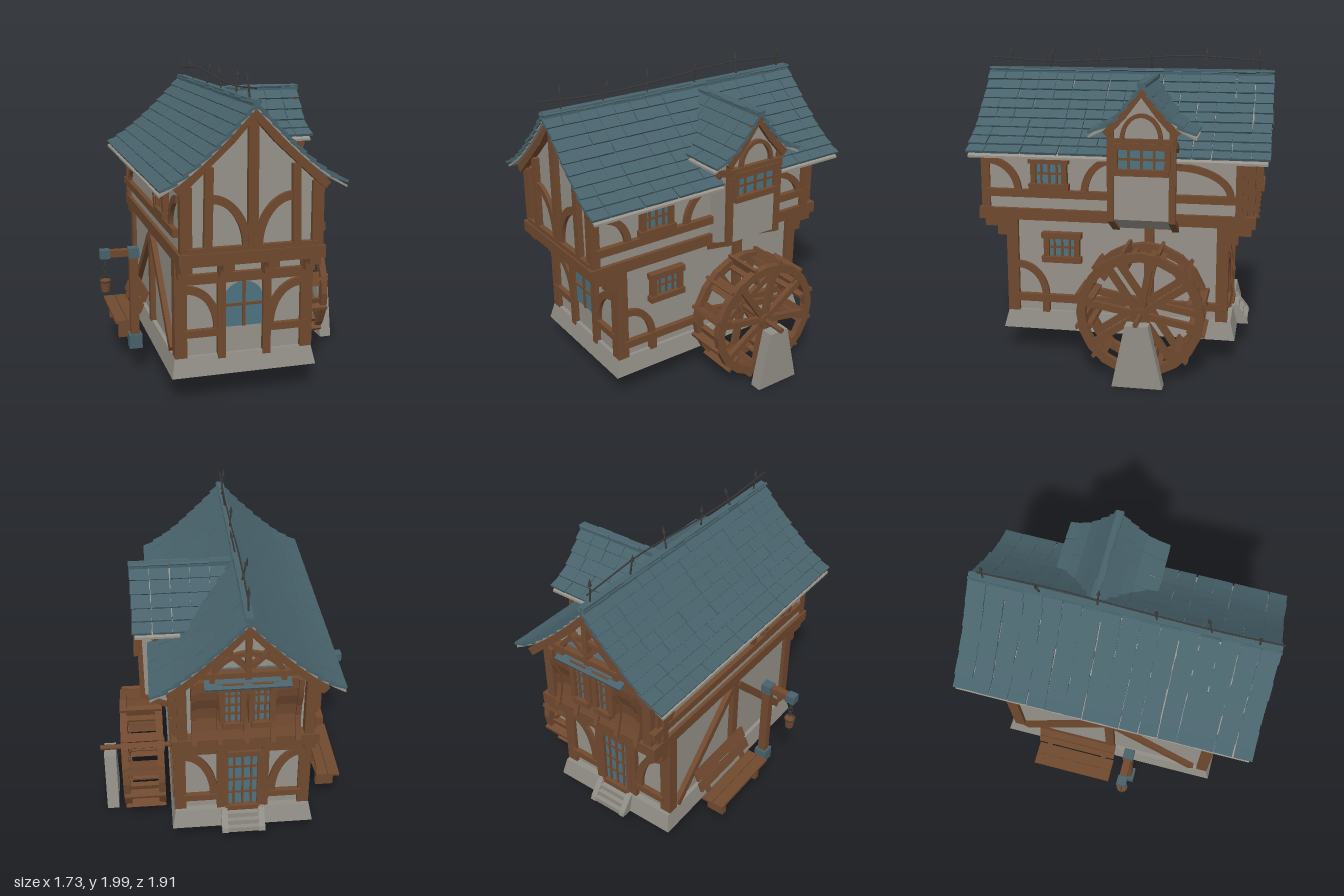
import * as THREE from 'three';
import { mergeGeometries } from 'three/addons/utils/BufferGeometryUtils.js';

const mat = (name, color) => Object.assign(new THREE.MeshStandardMaterial({ color }), { name });
const wood = mat('timber', 0x70492f), plaster = mat('plaster', 0x96928a), stone = mat('stone', 0x918e86);
const tile = mat('slate tile', 0x48626b), glass = mat('window glass', 0x4c7280), iron = mat('iron', 0x3c3a38);
const CX = -0.062; // house centre line
let seed = 7;
const rnd = () => ((seed = (seed * 16807) % 2147483647) / 2147483647) - 0.5;

function add(parent, name, geo, m) {
  const mesh = new THREE.Mesh(geo, m);
  mesh.name = name;
  parent.add(mesh);
  return mesh;
}
function box(parent, name, m, x0, x1, y0, y1, z0, z1) {
  const b = add(parent, name, new THREE.BoxGeometry(x1 - x0, y1 - y0, z1 - z0), m);
  b.position.set((x0 + x1) / 2, (y0 + y1) / 2, (z0 + z1) / 2);
  return b;
}
function group(parent, name, x = 0, y = 0, z = 0, ry = 0) {
  const g = new THREE.Group();
  g.name = name;
  g.position.set(x, y, z);
  g.rotation.y = ry;
  parent.add(g);
  return g;
}
const shapeOf = pts => new THREE.Shape(pts.map(p => new THREE.Vector2(...p)));
const extrude = (shape, depth) => new THREE.ExtrudeGeometry(shape, { depth, bevelEnabled: false, curveSegments: 10 });
// Straight timber between two points of a facade
function bar(g, u0, v0, u1, v1, w = 0.045, n = 0.01, d = 0.045, name = 'timber') {
  const b = add(g, name, new THREE.BoxGeometry(Math.hypot(u1 - u0, v1 - v0), w, d), wood);
  b.position.set((u0 + u1) / 2, (v0 + v1) / 2, n);
  b.rotation.z = Math.atan2(v1 - v0, u1 - u0);
}
// Curved brace: quarter ring about an inner corner, dir is +1 or -1 along u
function arc(g, u, v, r, dir, w = 0.05, ry = r, n = 0) {
  const s = new THREE.Shape(), a0 = dir > 0 ? 0 : Math.PI / 2, a1 = a0 + Math.PI / 2;
  s.absellipse(0, 0, r, ry, a0, a1, false);
  s.absellipse(0, 0, r - w, ry - w, a1, a0, true);
  add(g, 'curvedBrace', extrude(s, 0.025), wood).position.set(u, v, n);
}
function win(g, u, v, w, h, cols, rows, n = 0.01, lip = 0.03) {
  const f = group(g, 'window', u, v, n);
  box(f, 'glass', glass, -w / 2, w / 2, -h / 2, h / 2, -0.004, 0.004);
  for (const s of [-1, 1]) {
    bar(f, s * w / 2, -h / 2, s * w / 2, h / 2, 0.035, 0.008, 0.04, 'jamb');
    bar(f, -w / 2 - lip, s * (h / 2 + 0.015), w / 2 + lip, s * (h / 2 + 0.015), 0.04, 0.012, 0.05, 'sill');
  }
  for (let i = 1; i < cols; i++) bar(f, -w / 2 + i * w / cols, -h / 2, -w / 2 + i * w / cols, h / 2, 0.014, 0.006, 0.014, 'muntin');
  for (let i = 1; i < rows; i++) bar(f, -w / 2, -h / 2 + i * h / rows, w / 2, -h / 2 + i * h / rows, 0.014, 0.006, 0.014, 'muntin');
}
// Sweeping gable roof with its ridge along z, covered in uneven overlapping tiles
function tiledRoof(g, pts, z0, z1, rows, cols) {
  const curve = new THREE.CatmullRomCurve3(pts.map(p => new THREE.Vector3(p[0], p[1], 0)));
  const top = curve.getSpacedPoints(10).map(p => [p.x, p.y - 0.015]);
  const tiles = [], step = (z1 - z0) / cols;
  for (const s of [-1, 1]) {
    const under = [...top, ...top.slice().reverse().map(p => [p[0], p[1] - 0.014])].map(p => [p[0] * s, p[1]]);
    add(g, 'roofBoards', extrude(shapeOf(under), z1 - z0 - 0.03), plaster).position.z = z0 + 0.015;
    for (let i = 0; i < rows; i++) {
      const a = curve.getPointAt(i / rows), b = curve.getPointAt((i + 1) / rows);
      for (let j = 0; j < cols; j++) {
        const len = a.distanceTo(b) * (1.4 + rnd() * 0.12), ang = Math.atan2(a.y - b.y, b.x - a.x) - 0.14 + rnd() * 0.05;
        tiles.push(new THREE.BoxGeometry(len, 0.016, step * 0.97)
          .rotateY(rnd() * 0.06).rotateZ(-s * ang)
          .translate(s * (b.x - Math.cos(ang) * len / 2), b.y + Math.sin(ang) * len / 2 + 0.008, z0 + (j + 0.5) * step + rnd() * 0.008));
      }
    }
  }
  add(g, 'roofTiles', mergeGeometries(tiles), tile);
}

function buildWalls(house) {
  // Flared stone base
  const base = new THREE.BoxGeometry(0.915, 0.12, 1.52), p = base.attributes.position;
  for (let i = 0; i < p.count; i++) if (p.getY(i) > 0) { p.setX(i, p.getX(i) * 0.95); p.setZ(i, p.getZ(i) * 0.96); }
  base.computeVertexNormals();
  add(house, 'foundation', base, stone).position.set(CX, 0.225, 0.005);
  box(house, 'lowerWalls', plaster, -0.47, 0.35, 0.28, 0.92, -0.68, 0.71);
  // Upper storey with gables in one piece
  const half = [[0.42, 0.95], [0.42, 1.37], [0.39, 1.4], [0.26, 1.52], [0.14, 1.63], [0, 1.77]];
  const outline = [...half, ...half.slice(0, -1).reverse().map(q => [-q[0], q[1]])];
  add(house, 'upperWalls', extrude(shapeOf(outline), 1.66), plaster).position.set(CX, 0, -0.79);
  // Corner posts, jetty beams and joist ends
  for (const x of [-0.458, 0.338]) {
    for (const z of [-0.665, 0.7]) box(house, 'lowerCornerPost', wood, x - 0.038, x + 0.038, 0.28, 0.9, z - 0.038, z + 0.038);
    for (const z of [-0.785, 0.87]) box(house, 'upperCornerPost', wood, x - 0.035, x + 0.035, 0.95, 1.36, z - 0.028, z + 0.028);
    box(house, 'jettyBeam', wood, x - 0.047, x + 0.047, 0.9, 0.975, -0.86, 0.86);
    box(house, 'wallPlate', wood, x - 0.03, x + 0.035, 1.32, 1.365, -0.79, 0.88);
  }
  for (const z of [-0.82, 0.87]) box(house, 'jettyBeam', wood, -0.505, 0.385, 0.9, 0.975, z - 0.045, z + 0.045);
  for (const x of [-0.455, -0.2, 0.075, 0.335]) for (const s of [-1, 1]) {
    const z = s > 0 ? 0.72 : -0.68;
    box(house, 'joistEnd', wood, x - 0.035, x + 0.035, 0.85, 0.905, Math.min(z, z + s * 0.16), Math.max(z, z + s * 0.16));
    box(house, 'joistBracket', wood, x - 0.03, x + 0.03, 0.79, 0.855, Math.min(z, z + s * 0.08), Math.max(z, z + s * 0.08));
  }
}

function gableRafters(g, n) {
  const r = [[0.45, 1.335], [0.28, 1.49], [0.14, 1.62], [0, 1.775]];
  for (const s of [-1, 1]) for (let i = 0; i < 3; i++) bar(g, s * r[i][0], r[i][1], s * r[i + 1][0], r[i + 1][1], 0.05, n, 0.05, 'rafter');
}

function buildFronts(house) {
  const low = group(house, 'frontLower', CX, 0, 0.712);
  bar(low, -0.4, 0.77, 0.4, 0.77, 0.06);
  bar(low, -0.4, 0.43, -0.13, 0.43);
  bar(low, 0.13, 0.43, 0.4, 0.43);
  for (const s of [-1, 1]) {
    bar(low, s * 0.143, 0.26, s * 0.143, 0.76, 0.05);
    arc(low, s * 0.36, 0.45, 0.22, -s, 0.05, 0.28);
  }
  // Arched window
  const pane = new THREE.Shape([[-0.12, 0.45], [0.12, 0.45], [0.12, 0.63]].map(q => new THREE.Vector2(...q)));
  pane.absellipse(0, 0.63, 0.12, 0.1, 0, Math.PI, false);
  add(low, 'archedWindow', extrude(pane, 0.008), glass);
  bar(low, 0, 0.45, 0, 0.74, 0.018, 0.01, 0.02);
  bar(low, -0.12, 0.59, 0.12, 0.59, 0.016, 0.01, 0.02);

  const up = group(house, 'frontUpper', CX, 0, 0.873);
  bar(up, 0, 0.97, 0, 1.75, 0.06);
  bar(up, -0.4, 0.99, 0.4, 0.99, 0.03);
  for (const s of [-1, 1]) {
    bar(up, s * 0.27, 0.97, s * 0.26, 1.47, 0.05);
    arc(up, s * 0.25, 0.99, 0.24, -s, 0.05, 0.32);
  }
  gableRafters(up, 0.02);
}

function buildSides(house) {
  const right = group(house, 'rightSide', 0.352, 0, 0, Math.PI / 2); // u = -z
  bar(right, -0.7, 0.375, 0.66, 0.375, 0.05);
  bar(right, -0.48, 0.28, -0.48, 0.36);
  arc(right, -0.66, 0.39, 0.2, 1, 0.045, 0.23);
  bar(right, 0.2, 0.28, 0.2, 0.9, 0.06);
  win(right, -0.37, 0.725, 0.2, 0.13, 4, 2);
  const left = group(house, 'leftSide', -0.472, 0, 0, -Math.PI / 2); // u = z
  bar(left, 0.02, 0.28, 0.02, 0.9, 0.06);
  bar(left, -0.62, 0.3, -0.02, 0.86, 0.05);
  bar(left, 0.62, 0.3, 0.06, 0.86, 0.05);
  for (const [g, m] of [[right, 1], [left, -1]]) {
    const u = group(g, 'upperSide', 0, 0, 0.01);
    bar(u, -0.87, 1.077, 0.8, 1.077, 0.05);
    arc(u, m > 0 ? -0.85 : 0.85, 1.09, 0.22, m, 0.045, 0.22);
    arc(u, m * -0.02, 1.09, 0.22, -m, 0.045, 0.24);
    arc(u, m * 0.37, 1.09, 0.36, m, 0.045, 0.21);
    win(u, m * -0.445, 1.21, 0.2, 0.14, 4, 2);
    bar(u, m * 0.76, 0.97, m * 0.76, 1.34);
  }
}

function buildBack(house) {
  const low = group(house, 'backLower', CX, 0, -0.682, Math.PI); // u = -x
  bar(low, -0.4, 0.77, 0.4, 0.77, 0.06);
  for (const s of [-1, 1]) {
    bar(low, s * 0.14, 0.28, s * 0.14, 0.78, 0.05);
    arc(low, s * 0.37, 0.4, 0.21, -s, 0.05, 0.34);
    bar(low, s * 0.14, 0.38, s * 0.38, 0.38);
  }
  win(low, 0, 0.51, 0.22, 0.42, 4, 4, 0.01, 0);
  // Entrance steps with sloping cheeks
  for (let i = 0; i < 3; i++) box(low, 'step', stone, -0.1, 0.1, 0.165, 0.2 + i * 0.035, 0, 0.14 - i * 0.03);
  const side = (pts, w) => extrude(shapeOf(pts), w).translate(0, 0, -w / 2).rotateY(-Math.PI / 2);
  for (const s of [-1, 1]) add(low, 'stepCheek', side([[0, 0.165], [0.145, 0.165], [0.135, 0.195], [0.06, 0.29], [0, 0.29]], 0.04), stone).position.x = s * 0.12;

  // Bay with swept ribs and paired windows
  const up = group(house, 'backUpper', CX, 0, -0.79, Math.PI);
  const sweep = [[0.075, 0.95], [0.05, 1.03], [0.035, 1.11], [0.045, 1.19], [0.075, 1.27], [0.085, 1.33], [0.085, 1.4]];
  add(up, 'bay', side([[0, 0.95], ...sweep, [0, 1.4]], 0.64), wood);
  for (const u of [-0.31, -0.16, 0, 0.16, 0.31])
    add(up, 'bayRib', side([[0, 0.92], ...sweep.map(q => [q[0] + 0.02, q[1]]), [0, 1.4]], 0.03), wood).position.x = u;
  for (const s of [-1, 1]) win(up, s * 0.085, 1.24, 0.12, 0.25, 3, 4, 0.08, 0);
  const canopy = box(up, 'bayCanopy', tile, -0.25, 0.25, 1.4, 1.415, 0, 0.14);
  canopy.rotation.x = 0.45;
  // Open gable truss
  gableRafters(up, 0.11);
  bar(up, -0.27, 1.47, 0.27, 1.47, 0.035, 0.11);
  bar(up, 0, 1.44, 0, 1.75, 0.035, 0.11);
  for (const s of [-1, 1]) {
    arc(up, 0, 1.42, 0.22, s, 0.03, 0.2, 0.1);
    bar(up, s * 0.02, 1.52, s * 0.12, 1.62, 0.025, 0.11);
    bar(up, s * 0.38, 0.95, s * 0.38, 1.36, 0.06, 0.03, 0.07);
  }
}

function buildDormer(house) {
  const d = group(house, 'dormer');
  const body = [[0.25, 0.87], [0.36, 0.87], [0.545, 0.97], [0.545, 1.53], [0, 1.53], [0.25, 1.3]];
  add(d, 'dormerWalls', extrude(shapeOf(body), 0.39), plaster).position.z = -0.37;
  const f = group(d, 'dormerFront', 0.545, 0, -0.175, Math.PI / 2);
  add(f, 'dormerGable', extrude(shapeOf([[-0.2, 1.5], [0.2, 1.5], [0.1, 1.65], [0, 1.76], [-0.1, 1.65]]), 0.3), plaster).position.z = -0.3;
  for (const s of [-1, 1]) {
    bar(f, s * 0.19, 0.96, s * 0.19, 1.54, 0.042, 0.0, 0.03, 'post');
    bar(f, s * 0.22, 1.5, s * 0.1, 1.63, 0.045, 0.012, 0.04, 'rafter');
    bar(f, s * 0.11, 1.62, 0, 1.765, 0.045, 0.012, 0.04, 'rafter');
    const b = [[0.34, 0.855], [0.36, 0.855], [0.555, 0.96], [0.555, 0.99], [0.34, 0.89]];
    add(d, 'dormerBracket', extrude(shapeOf(b), 0.042), wood).position.z = -0.196 + s * 0.19;
    arc(group(d, 'dormerSideBrace', 0, 0, s > 0 ? 0.015 : -0.39), 0.54, 1.28, 0.16, -1, 0.04, 0.18);
  }
  bar(f, -0.2, 1.455, 0.2, 1.455, 0.045);
  win(f, 0, 1.352, 0.32, 0.13, 4, 2, 0.004, 0.01);
  arc(f, 0, 1.47, 0.13, 1, 0.025, 0.16);
  arc(f, 0, 1.47, 0.13, -1, 0.025, 0.16);
  const roof = group(d, 'dormerRoof', 0, 0, -0.18, Math.PI / 2);
  tiledRoof(roof, [[0.01, 1.79], [0.09, 1.69], [0.19, 1.58], [0.33, 1.505]], -0.02, 0.585, 5, 5);
  box(roof, 'dormerRidge', tile, -0.025, 0.025, 1.785, 1.815, -0.03, 0.59);
}

function buildRoof(house) {
  const r = group(house, 'mainRoof', CX);
  tiledRoof(r, [[0.01, 1.815], [0.14, 1.68], [0.26, 1.565], [0.39, 1.455], [0.48, 1.395], [0.56, 1.35]], -0.945, 0.955, 9, 16);
  box(r, 'ridgeCap', tile, -0.022, 0.022, 1.79, 1.845, -0.93, 0.945);
  // Iron ridge spikes joined by a sagging rod
  [0.82, 0.54, 0.21, -0.15, -0.5, -0.85].forEach((z, i) => {
    const s = group(r, 'ridgeSpike', 0, 1.83, z);
    s.rotation.set(i === 1 ? -0.25 : 0.05 * (i % 2 ? 1 : -1), 0, [0.12, -0.15, 0.06, -0.2, 0.2, 0][i]);
    add(s, 'spikeRod', new THREE.CylinderGeometry(0.005, 0.006, 0.12, 6), iron).position.y = 0.06;
    add(s, 'spikeTip', new THREE.ConeGeometry(0.012, 0.05, 6), iron).position.y = 0.14;
  });
  const path = [[0.96, 1.91], [0.54, 1.886], [0.1, 1.9], [-0.4, 1.93], [-0.88, 1.9]].map(q => new THREE.Vector3(0, q[1], q[0]));
  add(r, 'ridgeRod', new THREE.TubeGeometry(new THREE.CatmullRomCurve3(path), 16, 0.005, 5), iron);
}

function buildWheel(root) {
  const w = group(root, 'waterWheel', 0.565, 0.413, -0.19, Math.PI / 2);
  for (const n of [-0.115, 0.115]) {
    const ring = new THREE.Shape().absarc(0, 0, 0.395, 0, Math.PI * 2);
    ring.holes.push(new THREE.Path().absarc(0, 0, 0.34, 0, Math.PI * 2, true));
    add(w, 'wheelRim', extrude(ring, 0.045), wood).position.z = n - 0.022;
    for (let i = 0; i < 4; i++) {
      const a = 0.6 + i * Math.PI / 4, c = Math.cos(a) * 0.36, s = Math.sin(a) * 0.36;
      bar(w, -c, -s, c, s, 0.042, n, 0.035, 'spoke');
    }
    add(w, 'hub', new THREE.CylinderGeometry(0.05, 0.05, 0.06, 8).rotateX(Math.PI / 2), wood).position.z = n;
  }
  for (let i = 0; i < 12; i++) {
    const a = 0.25 + i * Math.PI / 6, c = Math.cos(a), s = Math.sin(a);
    bar(w, c * 0.3, s * 0.3, c * 0.415, s * 0.415, 0.022, 0, 0.27, 'paddle');
    bar(w, c * 0.35 - s * 0.05, s * 0.35 + c * 0.05, c * 0.35 + s * 0.05, s * 0.35 - c * 0.05, 0.016, 0, 0.2, 'bucketBoard');
  }
  add(w, 'axle', new THREE.CylinderGeometry(0.018, 0.018, 0.5, 8).rotateX(Math.PI / 2), wood).position.z = 0.045;
  const pier = shapeOf([[-0.15, -0.413], [0.16, -0.413], [0.07, -0.02], [-0.07, -0.02]]);
  add(w, 'axlePier', extrude(pier, 0.08), stone).position.z = 0.19;
}

function buildYard(root) {
  // Bucket post
  const p = group(root, 'bucketPost', 0, 0, 0.195);
  box(p, 'post', wood, -0.67, -0.615, 0.2, 0.82, -0.027, 0.027);
  box(p, 'arm', wood, -0.83, -0.62, 0.793, 0.837, -0.024, 0.024);
  for (const [x, y0, y1, r] of [[-0.642, 0.172, 0.265, 0.042], [-0.642, 0.78, 0.845, 0.034], [-0.825, 0.787, 0.843, 0.031]])
    box(p, 'postCap', tile, x - r, x + r, y0, y1, -r, r);
  for (let i = 0; i < 4; i++) {
    const l = add(p, 'chainLink', new THREE.TorusGeometry(0.014, 0.004, 5, 8).scale(1, 1.4, 1), iron);
    l.position.set(-0.825, 0.77 - i * 0.03, 0);
    l.rotation.y = i % 2 ? 1.57 : 0.3;
  }
  add(p, 'bucket', new THREE.CylinderGeometry(0.036, 0.027, 0.075, 10), wood).position.set(-0.825, 0.605, 0);
  add(p, 'bucketHoop', new THREE.TorusGeometry(0.035, 0.005, 5, 10).rotateX(Math.PI / 2), iron).position.set(-0.825, 0.635, 0);
  add(p, 'bucketHandle', new THREE.TorusGeometry(0.033, 0.003, 5, 8, Math.PI), iron).position.set(-0.825, 0.64, 0);
  // Bench
  const b = group(root, 'bench', 0, 0, -0.205);
  for (const x of [-0.71, -0.63]) box(b, 'seatPlank', wood, x - 0.038, x + 0.038, 0.29, 0.308, -0.275, 0.275);
  for (const z of [-0.2, 0.2]) {
    box(b, 'benchLeg', wood, -0.72, -0.6, 0.172, 0.29, z - 0.02, z + 0.02);
    bar(group(b, 'backSupport', 0, 0, z), -0.6, 0.29, -0.53, 0.48, 0.02, 0, 0.035);
  }
  bar(b, -0.586, 0.35, -0.562, 0.41, 0.018, 0, 0.55, 'backPlank');
  bar(b, -0.556, 0.425, -0.526, 0.49, 0.018, 0, 0.55, 'backPlank');
}

export function createModel() {
  const root = new THREE.Group();
  root.name = 'watermill';
  const house = group(root, 'house');
  for (const build of [buildWalls, buildFronts, buildSides, buildBack, buildDormer, buildRoof]) build(house);
  buildWheel(root);
  buildYard(root);
  return root;
}
